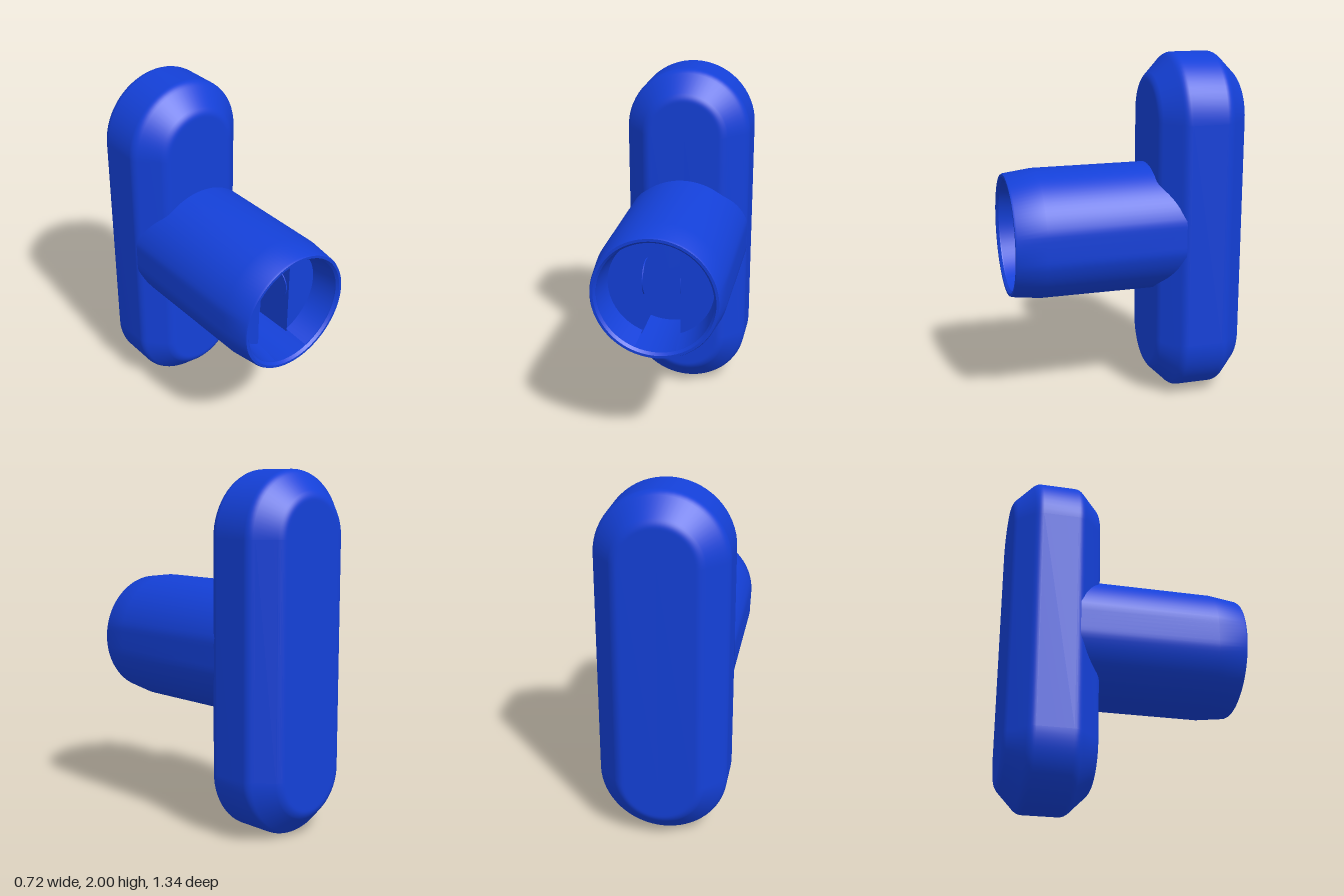
import * as THREE from 'three';
import { toCreasedNormals } from 'three/addons/utils/BufferGeometryUtils.js';

const material = new THREE.MeshStandardMaterial({ color: 0x1440d8, side: THREE.DoubleSide });
const AXIS_Y = 1.005;

function addMesh(parent, name, geometry) {
  const mesh = new THREE.Mesh(geometry, material);
  mesh.name = name;
  parent.add(mesh);
  return mesh;
}

// Lathe whose axis runs along z; points are [radius, z]
function latheZ(points, segments, start = 0, length = Math.PI * 2) {
  const profile = points.map(([r, z]) => new THREE.Vector2(r, z));
  return new THREE.LatheGeometry(profile, segments, start, length).rotateX(Math.PI / 2);
}

// Upright stadium body: loops of the outline, inset and moved along z
function handleGeometry() {
  const R = 0.36, STEPS = 32;
  // chamfered half profile [inset, z offset] with softened corners
  const half = [[0.36, 0.257], [0.17, 0.257]];
  const round = (a, b, c) => {
    const curve = new THREE.QuadraticBezierCurve(
      new THREE.Vector2(...a), new THREE.Vector2(...b), new THREE.Vector2(...c));
    curve.getPoints(6).forEach((p) => half.push([p.x, p.y]));
  };
  round([0.16, 0.257], [0.135, 0.257], [0.11, 0.235]);
  round([0.03, 0.155], [0, 0.13], [0, 0.10]);
  const profile = [...half.map(([i, z]) => [i, -z]), ...half.slice().reverse()];

  const positions = [], index = [], count = 2 * (STEPS + 1);
  profile.forEach(([inset, z]) => {
    for (let end = 0; end < 2; end++) {
      for (let k = 0; k <= STEPS; k++) {
        const t = Math.PI * (end + k / STEPS);
        const r = R - inset;
        positions.push(r * Math.cos(t), (end ? R : 2 - R) + r * Math.sin(t), z - 0.413);
      }
    }
  });
  for (let i = 0; i < profile.length - 1; i++) {
    for (let j = 0; j < count; j++) {
      const n = (j + 1) % count;
      const a = i * count + j, b = i * count + n, c = b + count, d = a + count;
      index.push(a, b, c, a, c, d);
    }
  }
  const geometry = new THREE.BufferGeometry();
  geometry.setAttribute('position', new THREE.Float32BufferAttribute(positions, 3));
  geometry.setIndex(index);
  geometry.computeVertexNormals();
  return geometry;
}

// Hollow stem with tapered nose, flattened slightly on both sides
function stemGeometry() {
  const geometry = latheZ([
    [0.37, -0.29], [0.37, 0.5], [0.35, 0.66], [0.345, 0.67],
    [0.33, 0.67], [0.317, 0.655], [0.317, 0.27], [0, 0.27],
  ], 96);
  const p = geometry.attributes.position;
  for (let i = 0; i < p.count; i++) {
    p.setX(i, THREE.MathUtils.clamp(p.getX(i), -0.36, 0.36));
  }
  return toCreasedNormals(geometry, 0.5);
}

// Circular segment that fills the bore beside the central slot
function cheekGeometry() {
  const r = 0.316, angle = Math.acos(0.108 / r);
  const shape = new THREE.Shape();
  shape.absarc(0, 0, r, -angle, angle, false);
  shape.closePath();
  return new THREE.ExtrudeGeometry(shape, { depth: 0.23, bevelEnabled: false, curveSegments: 32 })
    .translate(0, 0, 0.27);
}

export function createModel() {
  const model = new THREE.Group();
  model.name = 'tHandleKnob';
  addMesh(model, 'gripBar', handleGeometry());

  const stem = new THREE.Group();
  stem.name = 'stem';
  stem.position.y = AXIS_Y;
  model.add(stem);
  addMesh(stem, 'stemShell', stemGeometry());

  // Cheeks, sloped bore walls and shallow slot pads on both sides
  const span = 2 * Math.acos(0.108 / 0.305);
  ['left', 'right'].forEach((side, i) => {
    const half = new THREE.Group();
    half.name = side + 'SocketHalf';
    half.rotation.z = i * Math.PI;
    stem.add(half);
    addMesh(half, 'slotCheek', cheekGeometry());
    addMesh(half, 'taperedBoreWall',
      latheZ([[0.317, 0.65], [0.293, 0.5]], 32, Math.PI / 2 - span / 2, span));
    const pad = addMesh(half, 'slotPad', new THREE.CylinderGeometry(0.1, 0.1, 0.02, 32));
    pad.rotation.z = Math.PI / 2;
    pad.position.set(0.112, 0, 0.385);
  });
  return model;
}
